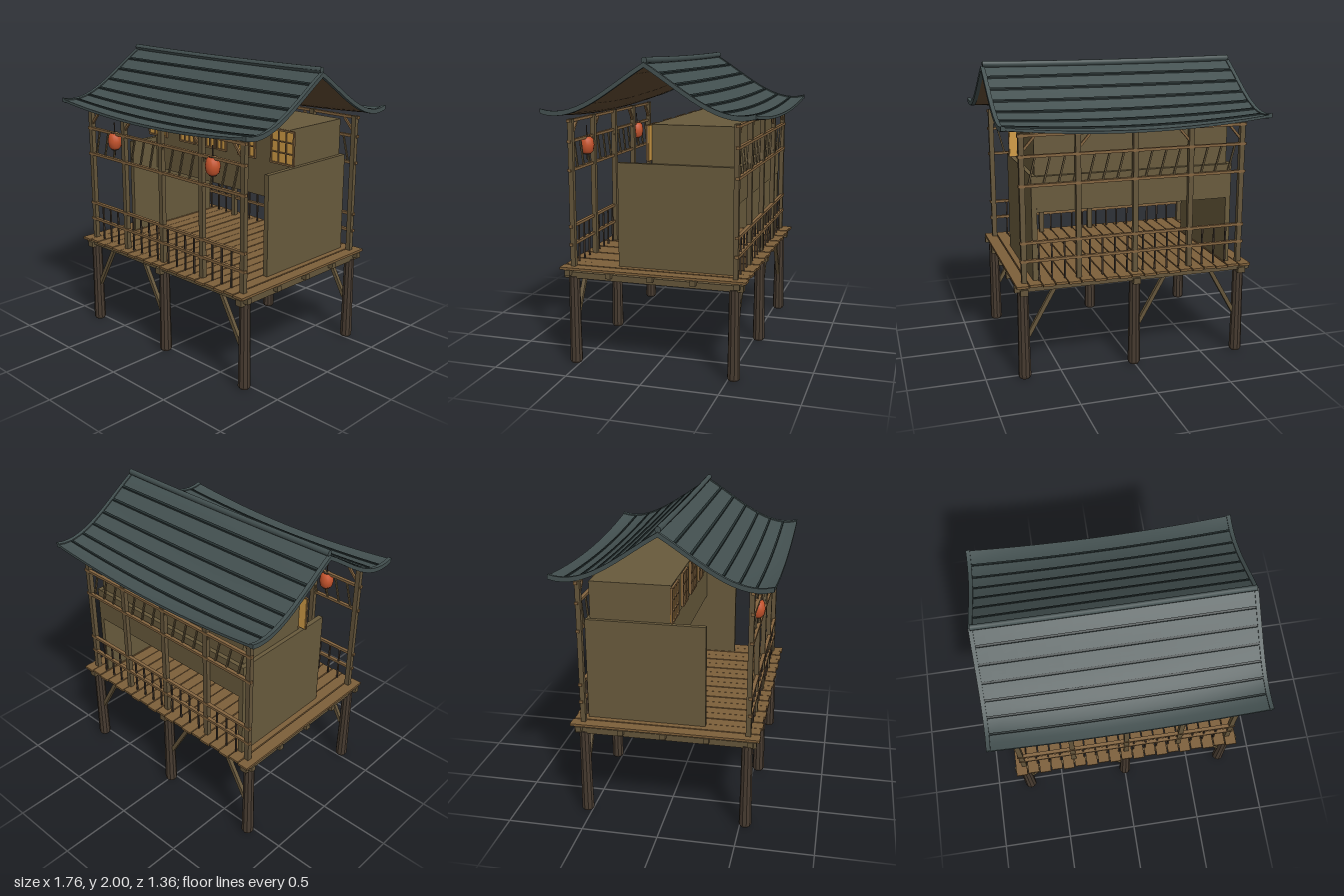
import * as THREE from 'three';

const mat = (name, color) => {
  const m = new THREE.MeshStandardMaterial({ color });
  m.name = name;
  return m;
};

export function createModel() {
  const wall = mat('olive wall', 0x685a3c);
  const timber = mat('frame timber', 0x64553a);
  const rail = mat('rail timber', 0x83643f);
  const plank = mat('deck plank', 0x7d5f3a);
  const log = mat('stilt log', 0x473b30);
  const tile = mat('slate roof', 0x435050);
  const tileDark = mat('dark slate', 0x263131);
  const soffit = mat('roof underside', 0x5e4830);
  const paper = mat('window paper', 0xd19c46);
  const lanternRed = mat('lantern red', 0xc9552d);

  const model = new THREE.Group();
  model.name = 'stiltHouse';
  const group = (name, parent = model) => {
    const g = new THREE.Group();
    g.name = name;
    parent.add(g);
    return g;
  };
  const add = (parent, name, geo, material, x = 0, y = 0, z = 0) => {
    const m = new THREE.Mesh(geo, material);
    m.name = name;
    m.position.set(x, y, z);
    parent.add(m);
    return m;
  };
  const box = (parent, name, material, w, h, d, x, y, z) =>
    add(parent, name, new THREE.BoxGeometry(w, h, d), material, x, y, z);
  // Square bar between two points of an x-y plane
  const bar = (parent, name, material, t, x1, y1, x2, y2, z) => {
    const m = box(parent, name, material, t, Math.hypot(x2 - x1, y2 - y1), t, (x1 + x2) / 2, (y1 + y2) / 2, z);
    m.rotation.z = -Math.atan2(x2 - x1, y2 - y1);
    return m;
  };

  // Stilts with bevelled ends and diagonal braces
  const stilts = group('stilts');
  const logProfile = [[0, 0], [0.034, 0], [0.042, 0.015], [0.038, 0.3], [0.036, 0.59], [0, 0.59]]
    .map(([r, y]) => new THREE.Vector2(r, y));
  for (const z of [0.535, -0.535]) {
    for (const x of [-0.75, 0, 0.75]) {
      const g = new THREE.LatheGeometry(logProfile, 10).toNonIndexed();
      g.computeVertexNormals();
      add(stilts, 'stilt', g, log, x, 0, z);
    }
    for (const [x1, x2] of [[-0.72, -0.54], [-0.03, -0.21], [0.72, 0.54]])
      bar(stilts, 'stiltBrace', timber, 0.026, x1, 0.29, x2, 0.605, z);
  }

  // Deck: cross beams, joists and planks
  const deck = group('deck');
  for (const x of [-0.75, 0, 0.75]) box(deck, 'crossBeam', timber, 0.05, 0.04, 1.19, x, 0.6, 0);
  for (const z of [-0.56, -0.28, 0, 0.28, 0.56]) box(deck, 'joist', timber, 1.62, 0.036, 0.036, 0, 0.62, z);
  const planks = 19, pitch = 1.61 / planks;
  for (let i = 0; i < planks; i++)
    box(deck, 'deckPlank', plank, pitch - 0.007, 0.016, i % 2 ? 1.22 : 1.235, (i - 9) * pitch, 0.645 + (i % 2) * 0.002, 0);

  // Railing and screen frame, the same along front and back
  const frame = (name) => {
    const f = group(name);
    for (const x of [-0.74, -0.38, 0, 0.38, 0.74]) box(f, 'post', timber, 0.034, 0.955, 0.032, x, 1.13, 0.54);
    for (const y of [0.795, 0.915, 1.28, 1.465, 1.595]) box(f, 'rail', rail, 1.53, 0.018, 0.024, 0, y, 0.548);
    for (let i = -8; i <= 8; i++) {
      if (i) box(f, 'baluster', log, 0.01, 0.245, 0.01, i * 0.084 - Math.sign(i) * 0.03, 0.78, 0.545);
    }
    for (let i = -7; i <= 7; i++)
      bar(f, 'slantedSlat', timber, 0.011, i * 0.096 - 0.025, 1.285, i * 0.096 + 0.02, 1.46, 0.54);
    for (const s of [-1, 1]) {
      bar(f, 'cornerBrace', rail, 0.015, s * 0.73, 1.5, s * 0.655, 1.585, 0.54);
      bar(f, 'postBrace', rail, 0.015, s * 0.375, 1.5, s * 0.3, 1.585, 0.54);
    }
    return f;
  };
  frame('frontFrame');
  frame('backFrame').rotation.y = Math.PI;

  // Room: side walls and the raised upper storey
  const room = group('room');
  for (const s of [-1, 1]) box(room, 'sideWall', wall, 0.034, 0.68, 0.78, s * 0.661, 0.993, -0.137);
  box(room, 'upperFloorBand', wall, 1.29, 0.23, 0.555, 0, 1.215, -0.25);
  box(room, 'upperRoom', wall, 1.3, 0.25, 0.53, 0, 1.455, -0.235);

  // Lattice windows
  for (const [cx, w, cols] of [[0.605, 0.19, 3], [0.29, 0.15, 3], [0.055, 0.085, 2]]) {
    for (const s of [-1, 1]) {
      const win = group('window');
      win.position.set(s * cx, 1.465, 0.036);
      box(win, 'windowPaper', paper, w, 0.22, 0.008, 0, 0, 0);
      for (let i = 0; i <= cols; i++)
        box(win, 'windowUpright', rail, i % cols ? 0.007 : 0.012, 0.23, 0.012, (i / cols - 0.5) * w, 0, 0.007);
      for (let j = 0; j <= 3; j++)
        box(win, 'windowCrossbar', rail, w, j % 3 ? 0.007 : 0.012, 0.014, 0, (j / 3 - 0.5) * 0.22, 0.007);
    }
  }

  // Hanging lanterns
  const lanternProfile = [[0, -0.058], [0.026, -0.056], [0.042, -0.04], [0.049, 0], [0.042, 0.04], [0.026, 0.056], [0, 0.058]]
    .map(([r, y]) => new THREE.Vector2(r, y));
  for (const x of [-0.48, 0.48]) {
    const l = group('lantern');
    l.position.set(x, 1.412, 0.545);
    add(l, 'lanternBody', new THREE.LatheGeometry(lanternProfile, 16), lanternRed);
    add(l, 'lanternCord', new THREE.CylinderGeometry(0.004, 0.004, 0.23, 6), log, 0, 0.015, 0);
    for (const y of [-0.056, 0.056]) add(l, 'lanternCap', new THREE.CylinderGeometry(0.025, 0.025, 0.01, 12), log, 0, y, 0);
  }

  // Roof: boxes bent to a curved slope whose eaves sag in the middle
  const roof = group('roof');
  const slope = (x, z) => {
    const s = Math.abs(z);
    const sag = 0.055 * (1 - (x / 0.88) ** 2) * (s / 0.68) ** 2;
    return 1.96 - 0.6 * s - 0.55 * s * s + 1.19 * s ** 3 - sag;
  };
  const bent = (name, material, w, h, d, x, lift, z, nx, nz) => {
    const g = new THREE.BoxGeometry(w, h, d, nx, 1, nz).translate(x, lift, z);
    const p = g.attributes.position;
    for (let i = 0; i < p.count; i++) p.setY(i, p.getY(i) + slope(p.getX(i), p.getZ(i)));
    g.computeVertexNormals();
    return add(roof, name, g, material);
  };
  for (const s of [-1, 1]) {
    bent('roofSlope', [tile, tile, tile, soffit, tile, tile], 1.75, 0.018, 0.68, 0, -0.009, s * 0.34, 20, 14);
    for (const z of [0.095, 0.19, 0.285, 0.38, 0.475, 0.575])
      bent('tileCourse', tileDark, 1.71, 0.014, 0.012, 0, 0.003, s * z, 20, 1);
    for (const e of [-1, 1])
      bent('gableTrim', tile, 0.026, 0.03, 0.68, e * 0.869, -0.007, s * 0.34, 1, 14);
  }

  // Ridge pole with slightly raised ends
  const ridge = new THREE.CylinderGeometry(0.018, 0.018, 1.74, 10, 12).rotateZ(Math.PI / 2);
  const rp = ridge.attributes.position;
  for (let i = 0; i < rp.count; i++) rp.setY(i, rp.getY(i) * 1.15 + 0.008 * (rp.getX(i) / 0.87) ** 2);
  ridge.computeVertexNormals();
  add(roof, 'ridgePole', ridge, tile, 0, 1.971, 0);

  return model;
}
